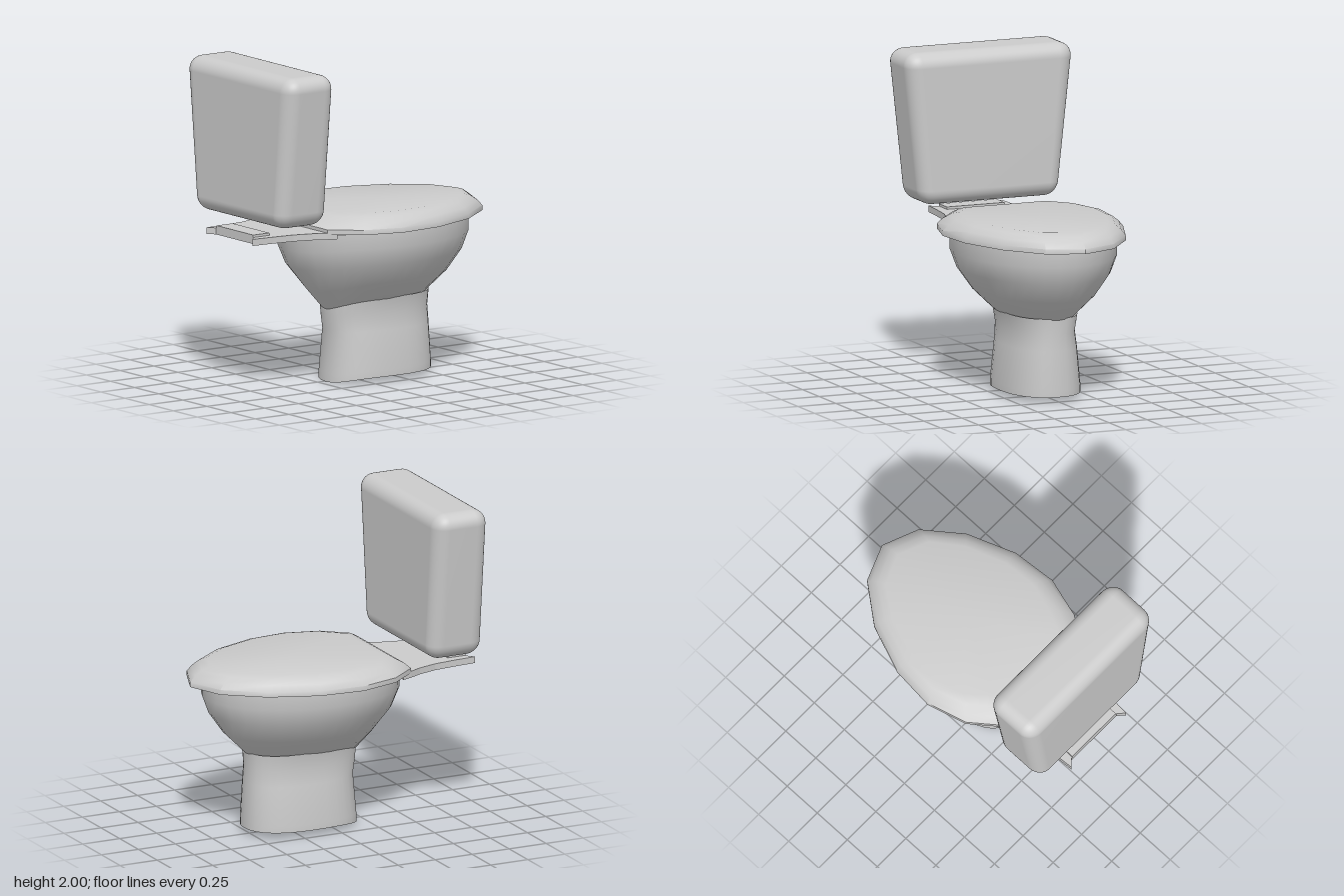
import * as THREE from 'three';
import { mergeVertices, toCreasedNormals } from 'three/addons/utils/BufferGeometryUtils.js';
import { RoundedBoxGeometry } from 'three/addons/geometries/RoundedBoxGeometry.js';

const material = new THREE.MeshStandardMaterial({ color: 0xcccccc, side: THREE.DoubleSide });

function addMesh(group, name, geometry) {
  const mesh = new THREE.Mesh(geometry, material);
  mesh.name = name;
  group.add(mesh);
  return mesh;
}

// Skin closed rings of [x, y, z], listed from bottom to top
function loft(rings, capped, crease) {
  const n = rings[0].length;
  const positions = rings.flat(2);
  const index = [];
  for (let i = 0; i < rings.length - 1; i++) {
    for (let j = 0; j < n; j++) {
      const k = (j + 1) % n;
      const a = i * n + j, b = i * n + k, c = a + n, d = b + n;
      index.push(a, c, b, b, c, d);
    }
  }
  if (capped) {
    const last = rings.length - 1;
    for (const r of [0, last]) {
      const center = positions.length / 3;
      positions.push(0.2, rings[r][0][1], 0);
      for (let j = 0; j < n; j++) {
        const a = r * n + j, b = r * n + (j + 1) % n;
        if (r === last) index.push(center, b, a);
        else index.push(center, a, b);
      }
    }
  }
  const geometry = new THREE.BufferGeometry();
  geometry.setAttribute('position', new THREE.Float32BufferAttribute(positions, 3));
  geometry.setIndex(index);
  return toCreasedNormals(geometry, crease);
}

// Egg-shaped ring whose rear may sit at a different height from its front
function eggRing([yFront, yBack, xMin, xMax, halfWidth], wide, power) {
  const ring = [];
  for (let i = 0; i < 32; i++) {
    const angle = (i / 32) * Math.PI * 2;
    const c = Math.cos(angle), s = Math.sin(angle);
    const x = wide + (c > 0 ? xMax - wide : wide - xMin) * Math.sign(c) * Math.abs(c) ** power;
    const y = yFront + (yBack - yFront) * Math.max(0, -c) ** 3;
    ring.push([x, y, 0.01 + halfWidth * Math.sign(s) * Math.abs(s) ** power]);
  }
  return ring;
}

// Mirror half an outline (front tip first) across the centre line
function mirrored(half) {
  return [...half, ...half.slice(1).reverse().map(([x, z]) => [x, -z])];
}

export function createModel() {
  const group = new THREE.Group();
  group.name = 'toilet';

  // Hollow pedestal with a narrow waist
  const pedestal = [
    [0.04, 0.005, -0.2, 0.53, 0.235],
    [0.08, 0.06, -0.2, 0.53, 0.235],
    [0.32, 0.32, -0.18, 0.52, 0.21],
    [0.42, 0.42, -0.2, 0.515, 0.195],
    [0.52, 0.5, -0.2, 0.52, 0.215],
  ];
  addMesh(group, 'pedestal', loft(pedestal.map(r => eggRing(r, 0.17, 0.85)), false, 1));

  // Bowl leaning back towards the tank
  const bowl = [
    [0.51, 0.44, -0.19, 0.52, 0.21],
    [0.64, 0.57, -0.3, 0.65, 0.35],
    [0.77, 0.72, -0.42, 0.74, 0.44],
    [0.88, 0.84, -0.47, 0.78, 0.48],
    [0.98, 0.94, -0.48, 0.78, 0.48],
  ];
  addMesh(group, 'bowl', loft(bowl.map(r => eggRing(r, 0.12, 1)), false, 1));

  // Lid with a rounded shoulder and flat top
  const outer = mirrored([[0.9, 0], [0.81, 0.225], [0.58, 0.405], [0.28, 0.52], [0, 0.545], [-0.25, 0.475], [-0.42, 0.34]]);
  const inner = mirrored([[0.77, 0], [0.69, 0.19], [0.51, 0.32], [0.26, 0.41], [0.05, 0.425], [-0.14, 0.37], [-0.27, 0.255]]);
  const lid = [[0.98, 0], [1.01, 0], [1.045, 0.25], [1.075, 0.6], [1.09, 1]].map(([y, t]) =>
    outer.map(([x, z], i) => [x + (inner[i][0] - x) * t, y, z + (inner[i][1] - z) * t]));
  addMesh(group, 'lid', loft(lid, true, 0.75));

  // Tank shelf, flared where it meets the bowl, with two small rear points
  const side = [[-0.36, 0.36], [-0.42, 0.34], [-0.5, 0.3], [-0.62, 0.265], [-0.76, 0.25], [-0.905, 0.24], [-0.865, 0.195]];
  const outline = [...side, ...side.slice().reverse().map(([x, z]) => [x, -z])];
  const shelfShape = new THREE.Shape(outline.map(([x, z]) => new THREE.Vector2(x, z)));
  const shelf = new THREE.ExtrudeGeometry(shelfShape, { depth: 0.04, bevelEnabled: false });
  shelf.rotateX(Math.PI / 2);
  addMesh(group, 'tankShelf', shelf).position.y = 0.99;
  addMesh(group, 'shelfPad', new THREE.BoxGeometry(0.12, 0.02, 0.38)).position.set(-0.805, 0.995, 0);

  // Rounded tank, wider at the top
  let tank = new RoundedBoxGeometry(0.36, 0.935, 1.01, 5, 0.09);
  tank.deleteAttribute('uv');
  tank.deleteAttribute('normal');
  const p = tank.attributes.position;
  for (let i = 0; i < p.count; i++) p.setZ(i, p.getZ(i) * (1 + 0.22 * p.getY(i)));
  tank = mergeVertices(tank, 1e-4);
  tank.computeVertexNormals();
  addMesh(group, 'tank', tank).position.set(-0.675, 1.5325, 0);

  return group;
}
